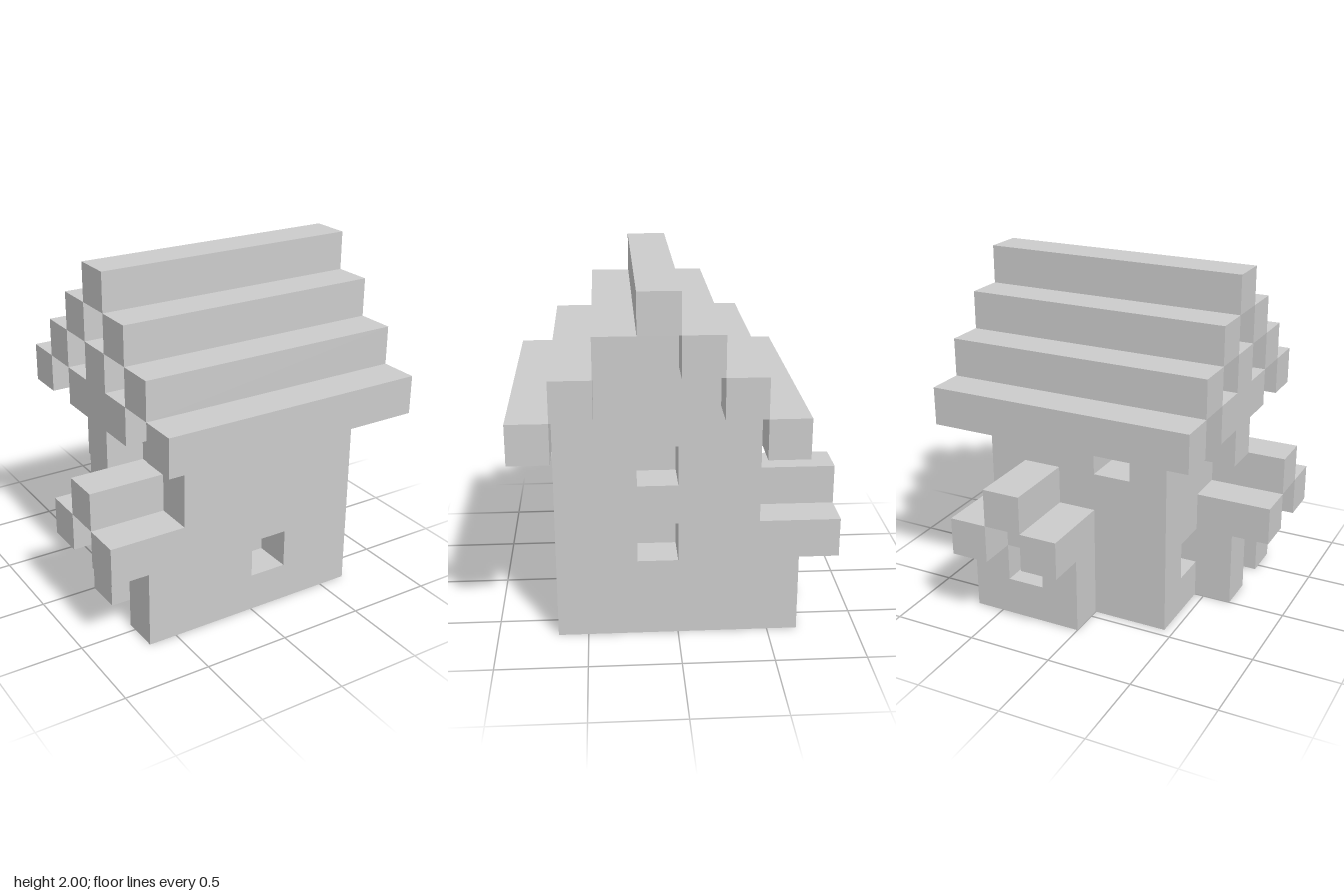
import * as THREE from 'three';

const UNIT = 2 / 9; // edge of one building block

export function createModel() {
  const model = new THREE.Group();
  model.name = 'blockHouse';
  const material = new THREE.MeshStandardMaterial({ color: 0xcccccc, flatShading: true });

  // Everything is laid out in whole blocks: x and z run 0..8, y runs 0..9.
  function add(name, geometry) {
    geometry.translate(-4, 0, -4);
    geometry.scale(UNIT, UNIT, UNIT);
    const mesh = new THREE.Mesh(geometry, material);
    mesh.name = name;
    model.add(mesh);
  }

  // Box from its lowest corner and its size
  function block(name, x, y, z, w = 1, h = 1, d = 1) {
    add(name, new THREE.BoxGeometry(w, h, d).translate(x + w / 2, y + h / 2, z + d / 2));
  }

  // One-block-thick wall with unit square windows [column, row]
  function panelGeometry(outline, windows) {
    const shape = new THREE.Shape(outline.map(([u, v]) => new THREE.Vector2(u, v)));
    for (const [u, v] of windows) {
      shape.holes.push(new THREE.Path([[u, v], [u, v + 1], [u + 1, v + 1], [u + 1, v]]
        .map(([a, b]) => new THREE.Vector2(a, b))));
    }
    return new THREE.ExtrudeGeometry(shape, { depth: 1, bevelEnabled: false });
  }

  // Wall across x, starting at depth z
  function wallAcross(name, z, outline, windows) {
    add(name, panelGeometry(outline, windows).translate(0, 0, z));
  }

  // Wall along z, starting at x
  function wallAlong(name, x, outline, windows) {
    add(name, panelGeometry(outline, windows).rotateY(-Math.PI / 2).translate(x + 1, 0, 0));
  }

  const rect = (u0, u1, h) => [[u0, 0], [u1, 0], [u1, h], [u0, h]];
  const gable = [[7, 0], [7, 6], [6, 6], [6, 7], [5, 7], [5, 8],
    [4, 8], [4, 7], [3, 7], [3, 6], [2, 6], [2, 0]];
  const doorway = [[5, 0], [5, 2], [6, 2], [6, 0]];

  // Main house
  block('core', 3, 0, 3, 3, 7, 3);
  wallAcross('frontWall', 6, rect(2, 7, 6), [[4, 1]]);
  wallAcross('backWall', 2, rect(2, 7, 6), [[3, 4]]);
  wallAlong('windowGableWall', 6, gable, [[4, 2], [4, 4]]);
  wallAlong('doorGableWall', 2, [...doorway, ...gable], [[3, 1]]);

  // Stepped roof, overhanging both gable ends
  for (let step = -3; step <= 3; step++) {
    block('roofStep', 1, 8 - Math.abs(step), 4 + step, 7);
  }

  // Cross ornament below the ridge on the door side
  block('crossUpright', 1, 4, 4, 1, 3, 1);
  for (const z of [3, 5]) block('crossArm', 1, 5, z);

  // Porch around the door, with its own little stepped roof
  wallAlong('porchWall', 1, [...doorway, [7, 0], [7, 3], [4, 3], [4, 0]], []);
  block('porchRidge', 0, 3, 5, 2);
  for (const z of [4, 6]) block('porchEave', 0, 2, z);

  // Bay on the back
  wallAcross('bayWall', 1, rect(4, 7, 3), [[5, 1]]);
  block('bayRidge', 5, 3, 0, 1, 1, 2);
  for (const x of [4, 6]) block('bayEave', x, 2, 0);

  return model;
}
